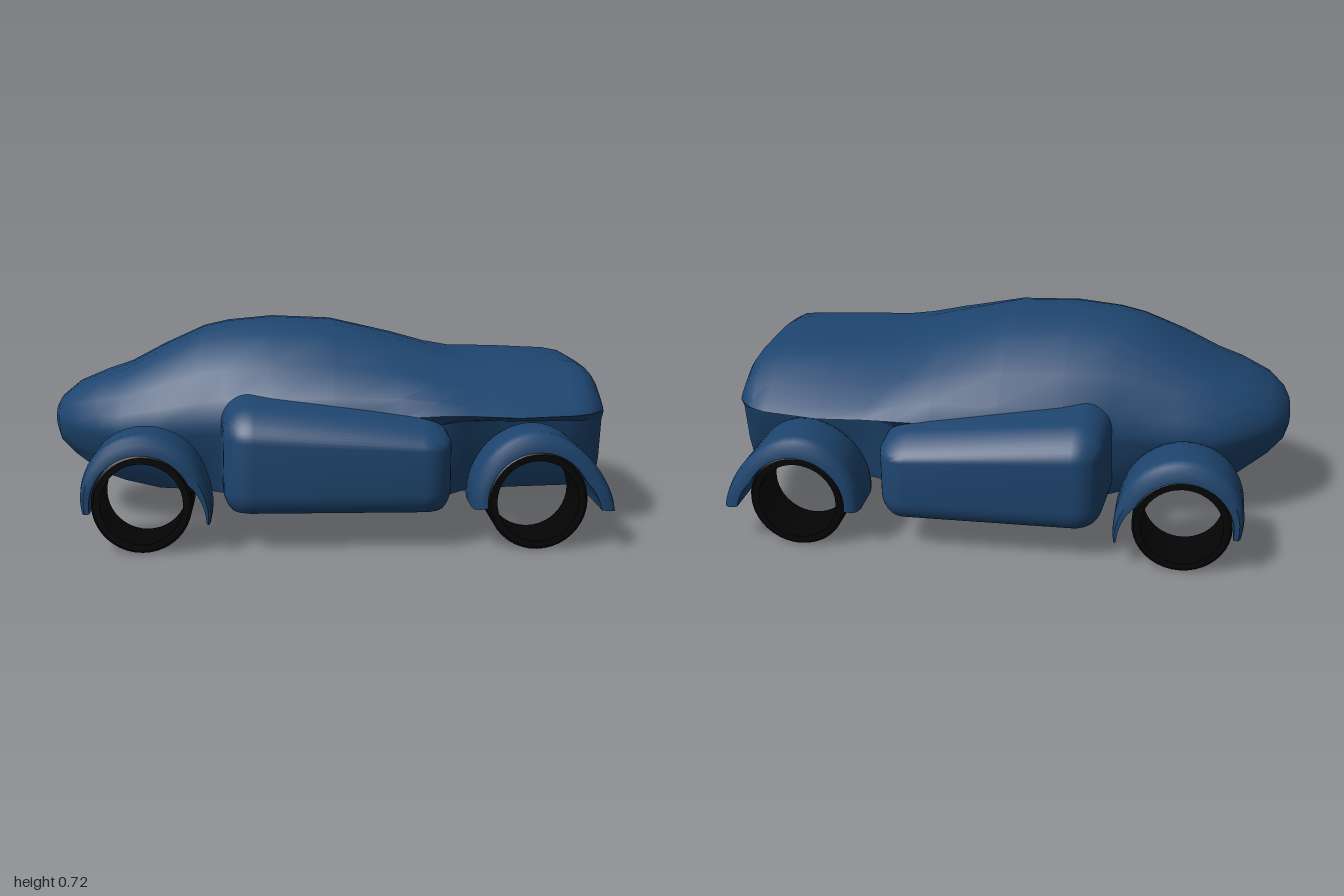
import * as THREE from 'three';
import { toCreasedNormals } from 'three/addons/utils/BufferGeometryUtils.js';
import { RoundedBoxGeometry } from 'three/addons/geometries/RoundedBoxGeometry.js';

// Skin closed rings of [x, y, z] points, listed along +x, and cap both ends.
function loft(rings, startTip, endTip, crease) {
  const n = rings[0].length;
  const pos = rings.flat(2);
  const idx = [];
  for (let k = 0; k < rings.length - 1; k++) {
    for (let i = 0; i < n; i++) {
      const a = k * n + i, b = k * n + (i + 1) % n;
      idx.push(a, b, a + n, b, b + n, a + n);
    }
  }
  const start = rings.length * n, last = start - n;
  pos.push(...startTip, ...endTip);
  for (let i = 0; i < n; i++) {
    const j = (i + 1) % n;
    idx.push(start, j, i, start + 1, last + i, last + j);
  }
  const geo = new THREE.BufferGeometry();
  geo.setAttribute('position', new THREE.Float32BufferAttribute(pos, 3));
  geo.setIndex(idx);
  return toCreasedNormals(geo, crease);
}

// Half profile from roof to floor, mirrored into a ring.
// The nose and tail are fuller than the cabin, the rear deck has a thin lip.
function bodyRing([x, floor, top, width, waist, under, base]) {
  const full = x < 0 ? Math.min(1, 1.4 * x * x) : THREE.MathUtils.smoothstep(x, 0.8, 0.97);
  const deck = THREE.MathUtils.smoothstep(x, 0.3, 0.5);
  const z = (mid, ends) => width * THREE.MathUtils.lerp(mid, ends, full);
  const y = (t) => waist + (top - waist) * t;
  const half = [
    [z(0.2 + 0.12 * deck, 0.38), y(0.98)], [z(0.43 + 0.07 * deck, 0.63), y(0.89)],
    [z(0.74, 0.84), y(0.57 - 0.1 * deck)], [z(0.93, 0.96), y(0.27 - 0.1 * deck)],
    [width, waist], [under, waist - (waist - floor) * 0.12],
    [under * 0.65 + base * 0.35, floor + (waist - floor) * 0.4], [base, floor],
  ];
  return [
    [x, top, 0], ...half.map(([hz, hy]) => [x, hy, hz]),
    [x, floor, 0], ...half.reverse().map(([hz, hy]) => [x, hy, -hz]),
  ];
}

// Arched mudguard from keys of [degrees, outer radius, inboard z]; its tail thins to a point.
function fenderGeometry(cx, cy, keys, side) {
  const outboard = 0.642;
  const curve = new THREE.CatmullRomCurve3(keys.map(([d, r, z]) => new THREE.Vector3(d / 100, r, z)));
  const rings = curve.getPoints(28).map((p) => {
    const deg = p.x * 100, a = THREE.MathUtils.degToRad(deg);
    const lo = Math.min(p.z * side, outboard * side), hi = Math.max(p.z * side, outboard * side);
    const inner = 0.172 + Math.max(0, 25 - deg) * 0.0013;
    const at = (t, z) => {
      const r = inner + (p.y - inner) * t;
      return [cx + r * Math.cos(a), cy + r * Math.sin(a), z];
    };
    return [
      at(0, lo), at(0.55, lo), at(0.88, lo + 0.015), at(1, lo + 0.045),
      at(1, hi - 0.045), at(0.88, hi - 0.015), at(0.55, hi), at(0, hi),
    ];
  });
  const centre = (ring) => [0, 1, 2].map((c) => ring.reduce((s, p) => s + p[c], 0) / ring.length);
  return loft(rings, centre(rings[0]), centre(rings[rings.length - 1]), 0.8);
}

// Rounded side pod with sloping top, tapered nose and flat underside.
function podGeometry(side) {
  const geo = new RoundedBoxGeometry(0.765, 0.4, 0.44, 6, 0.1);
  geo.translate(0.026, 0.304, 0.425 * side);
  const p = geo.attributes.position;
  for (let i = 0; i < p.count; i++) {
    let x = p.getX(i), y = p.getY(i);
    const z = Math.abs(p.getZ(i));
    if (x < 0) x -= Math.max(0, 0.6 - z) * 0.08;
    if (y > 0.3) y -= (y - 0.3) / 0.2 * (Math.max(0, x + 0.08) * 0.14 + Math.max(0, z - 0.49) * 0.35);
    p.setXY(i, x, Math.max(0.136, y));
  }
  return toCreasedNormals(geo, 0.7);
}

// Hollow tyre band with softened shoulders.
function tyreGeometry() {
  const profile = [
    [0.138, -0.097], [0.16, -0.097], [0.168, -0.088], [0.168, 0.088],
    [0.16, 0.097], [0.138, 0.097], [0.138, -0.097],
  ].map(([r, h]) => new THREE.Vector2(r, h));
  const geo = new THREE.LatheGeometry(profile, 40);
  geo.rotateX(Math.PI / 2);
  return toCreasedNormals(geo, 0.6);
}

export function createModel() {
  const group = new THREE.Group();
  const paint = new THREE.MeshStandardMaterial({ color: 0x1e456f, side: THREE.DoubleSide });
  paint.name = 'blue paint';
  const rubber = new THREE.MeshStandardMaterial({ color: 0x040404, side: THREE.DoubleSide });
  rubber.name = 'black rubber';

  const add = (name, geo, mat, x = 0, y = 0, z = 0) => {
    const mesh = new THREE.Mesh(geo, mat);
    mesh.name = name;
    mesh.position.set(x, y, z);
    group.add(mesh);
  };

  // Body stations: x, floor, top, half width, waist height, undercut, floor half width
  const stations = [
    [-0.995, 0.32, 0.40, 0.07, 0.36, 0.069, 0.045],
    [-0.975, 0.285, 0.435, 0.13, 0.36, 0.128, 0.09],
    [-0.92, 0.24, 0.48, 0.20, 0.36, 0.198, 0.13],
    [-0.82, 0.18, 0.52, 0.28, 0.36, 0.277, 0.18],
    [-0.73, 0.155, 0.55, 0.33, 0.36, 0.326, 0.21],
    [-0.6, 0.135, 0.62, 0.365, 0.37, 0.36, 0.25],
    [-0.45, 0.135, 0.69, 0.37, 0.38, 0.366, 0.28],
    [-0.36, 0.135, 0.71, 0.40, 0.39, 0.396, 0.34],
    [-0.2, 0.135, 0.725, 0.44, 0.40, 0.435, 0.42],
    [0.02, 0.135, 0.715, 0.465, 0.41, 0.46, 0.45],
    [0.25, 0.135, 0.66, 0.485, 0.43, 0.47, 0.46],
    [0.38, 0.135, 0.62, 0.505, 0.44, 0.47, 0.43],
    [0.48, 0.135, 0.597, 0.505, 0.44, 0.40, 0.33],
    [0.65, 0.135, 0.594, 0.495, 0.43, 0.37, 0.28],
    [0.85, 0.135, 0.585, 0.46, 0.43, 0.36, 0.26],
    [0.91, 0.135, 0.573, 0.43, 0.43, 0.36, 0.255],
    [0.95, 0.135, 0.55, 0.385, 0.43, 0.35, 0.25],
    [0.975, 0.135, 0.51, 0.345, 0.425, 0.32, 0.25],
    [0.99, 0.135, 0.46, 0.23, 0.41, 0.22, 0.19],
  ];
  add('body', loft(stations.map(bodyRing), [-1, 0.36, 0], [1, 0.3, 0], 0.65), paint);

  const noseKeys = [
    [188, 0.2, 0.41], [160, 0.212, 0.41], [125, 0.23, 0.41], [90, 0.236, 0.412],
    [50, 0.232, 0.418], [15, 0.225, 0.43], [-16, 0.237, 0.44],
  ];
  const tailKeys = [
    [186, 0.222, 0.42], [155, 0.222, 0.42], [120, 0.232, 0.42], [90, 0.236, 0.40],
    [45, 0.225, 0.33], [20, 0.237, 0.285], [-7, 0.268, 0.26],
  ];
  const tyre = tyreGeometry();

  for (const [where, side] of [['front', 1], ['back', -1]]) {
    add(where + 'SidePod', podGeometry(side), paint);
    add(where + 'NoseFender', fenderGeometry(-0.63, 0.17, noseKeys, side), paint);
    add(where + 'TailFender', fenderGeometry(0.695, 0.17, tailKeys, side), paint);
    add(where + 'NoseTyre', tyre, rubber, -0.63, 0.172, 0.527 * side);
    add(where + 'TailTyre', tyre, rubber, 0.695, 0.172, 0.527 * side);
  }
  return group;
}
